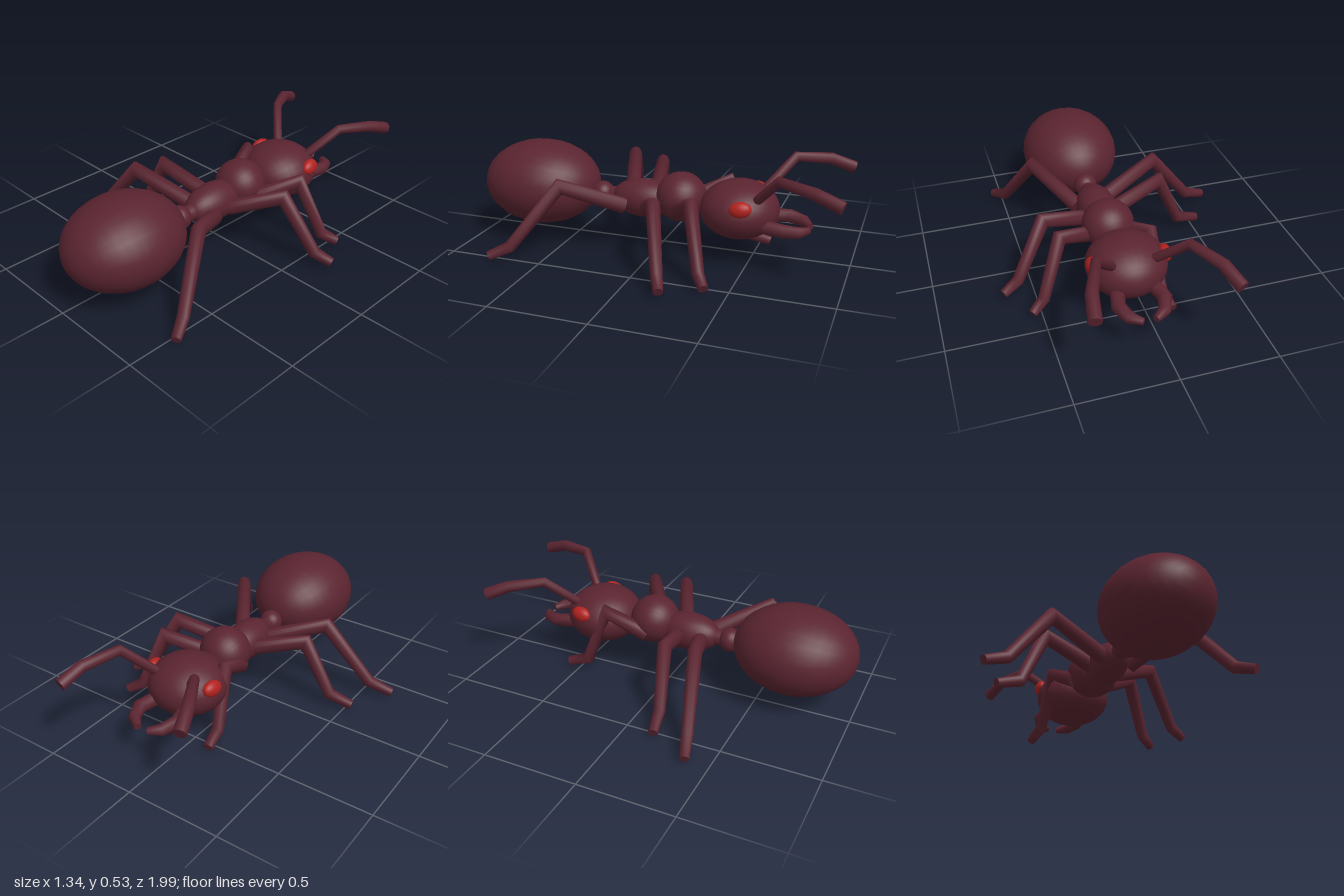
import * as THREE from 'three';
import { mergeVertices } from 'three/addons/utils/BufferGeometryUtils.js';

const MID = 0.08; // x of the body axis

// Tapered limb with mitred joints through points [x, y, z, radius], capped at both ends
function limbGeometry(points, sides = 10) {
  const p = points.map(([x, y, z]) => new THREE.Vector3(x, y, z));
  const n = p.length, pos = [], idx = [];
  const dir = (i) => p[i + 1].clone().sub(p[i]).normalize();
  let u = new THREE.Vector3(0, 1, 0.01);
  for (let i = 0; i < n; i++) {
    const a = dir(Math.max(i - 1, 0)), b = dir(Math.min(i, n - 2));
    const t = a.clone().add(b).normalize();
    const stretch = Math.min(1 / Math.max(t.dot(a), 0.5), 1.3);
    // bend plane axis gets the mitre stretch
    const bend = b.clone().sub(a);
    u = u.clone().addScaledVector(t, -u.dot(t)).normalize();
    const v = t.clone().cross(u);
    const hasBend = bend.length() > 1e-4;
    if (hasBend) bend.addScaledVector(t, -bend.dot(t)).normalize();
    for (let k = 0; k < sides; k++) {
      const ang = (k / sides) * Math.PI * 2;
      const o = u.clone().multiplyScalar(Math.cos(ang)).addScaledVector(v, Math.sin(ang));
      if (hasBend) o.addScaledVector(bend, o.dot(bend) * (stretch - 1));
      o.multiplyScalar(points[i][3]).add(p[i]);
      pos.push(o.x, o.y, o.z);
    }
  }
  for (let i = 0; i < n - 1; i++)
    for (let k = 0; k < sides; k++) {
      const a = i * sides + k, b = i * sides + ((k + 1) % sides);
      idx.push(a, b, a + sides, b, b + sides, a + sides);
    }
  // flat end caps with their own vertices
  for (const end of [0, n - 1]) {
    const base = pos.length / 3, from = end * sides;
    for (let k = 0; k < sides; k++) pos.push(...pos.slice((from + k) * 3, (from + k) * 3 + 3));
    for (let k = 1; k < sides - 1; k++)
      idx.push(base, ...(end ? [base + k, base + k + 1] : [base + k + 1, base + k]));
  }
  const g = new THREE.BufferGeometry();
  g.setAttribute('position', new THREE.Float32BufferAttribute(pos, 3));
  g.setIndex(idx);
  g.computeVertexNormals();
  return mergeVertices(g);
}

export function createModel() {
  const group = new THREE.Group();
  group.name = 'ant';
  const shell = new THREE.MeshStandardMaterial({ color: 0x5a2430 });
  shell.name = 'maroon shell';
  const eyeRed = new THREE.MeshStandardMaterial({ color: 0xb0221f });
  eyeRed.name = 'red eye';

  const add = (name, geometry, material = shell) => {
    const mesh = new THREE.Mesh(geometry, material);
    mesh.name = name;
    group.add(mesh);
    return mesh;
  };
  const ellipsoid = (name, [x, y, z], [rx, ry, rz], material) => {
    const g = new THREE.SphereGeometry(1, 28, 18).rotateX(Math.PI / 2).scale(rx, ry, rz);
    const mesh = add(name, g, material);
    mesh.position.set(x, y, z);
    return mesh;
  };

  // Body segments from rear to head
  ellipsoid('abdomen', [MID, 0.303, 0.67], [0.27, 0.227, 0.322]);
  ellipsoid('petiole', [MID, 0.27, 0.315], [0.063, 0.065, 0.06]);
  add('waist', limbGeometry([[MID, 0.27, 0.18, 0.05], [MID, 0.27, 0.33, 0.035]], 14));
  ellipsoid('rearThorax', [MID, 0.27, 0.08], [0.103, 0.102, 0.175]);
  ellipsoid('frontThorax', [MID, 0.3, -0.125], [0.136, 0.13, 0.132]);
  ellipsoid('head', [MID, 0.272, -0.437], [0.205, 0.15, 0.203]);

  for (const s of [1, -1]) {
    const side = s > 0 ? 'left' : 'right';
    // Eyes on the sides of the head
    const eye = ellipsoid(side + 'Eye', [MID + s * 0.182, 0.33, -0.483], [0.032, 0.04, 0.056], eyeRed);
    eye.rotation.set(0.1, s * 0.12, s * 0.25);
    // Curved mandibles
    add(side + 'Mandible', limbGeometry([
      [MID + s * 0.085, 0.225, -0.56, 0.038],
      [MID + s * 0.115, 0.22, -0.68, 0.035],
      [MID + s * 0.085, 0.21, -0.755, 0.03],
      [MID + s * 0.03, 0.205, -0.795, 0.018]]));
  }

  // Elbowed antennae
  add('leftAntenna', limbGeometry([
    [0.18, 0.35, -0.54, 0.024], [0.3, 0.505, -0.675, 0.025],
    [0.37, 0.485, -0.86, 0.031], [0.392, 0.442, -0.985, 0.033]]));
  add('rightAntenna', limbGeometry([
    [-0.02, 0.35, -0.54, 0.024], [-0.15, 0.505, -0.675, 0.025],
    [-0.245, 0.485, -0.84, 0.031], [-0.288, 0.437, -0.955, 0.033]]));

  // Legs: hip, knee, ankle, foot
  const legs = {
    leftRearLeg: [[0.17, 0.245, 0.16], [0.35, 0.375, 0.44], [0.485, 0.065, 0.67], [0.54, 0.025, 0.765]],
    leftMiddleLeg: [[0.16, 0.25, 0.03], [0.415, 0.36, -0.09], [0.575, 0.07, -0.165], [0.66, 0.03, -0.203]],
    leftFrontLeg: [[0.17, 0.25, -0.12], [0.37, 0.365, -0.265], [0.48, 0.065, -0.34], [0.55, 0.025, -0.388]],
    rightRearLeg: [[0.03, 0.26, 0.165], [-0.3, 0.385, 0.275], [-0.54, 0.08, 0.345], [-0.66, 0.03, 0.384]],
    rightMiddleLeg: [[0.02, 0.26, 0.04], [-0.275, 0.36, 0.1], [-0.41, 0.07, 0.135], [-0.535, 0.027, 0.16]],
    rightFrontLeg: [[-0.02, 0.25, -0.13], [-0.075, 0.36, -0.34], [-0.105, 0.065, -0.45], [-0.125, 0.03, -0.56]],
  };
  const radii = [0.043, 0.037, 0.031, 0.025];
  for (const [name, pts] of Object.entries(legs))
    add(name, limbGeometry(pts.map((q, i) => [...q, radii[i]])));

  return group;
}
